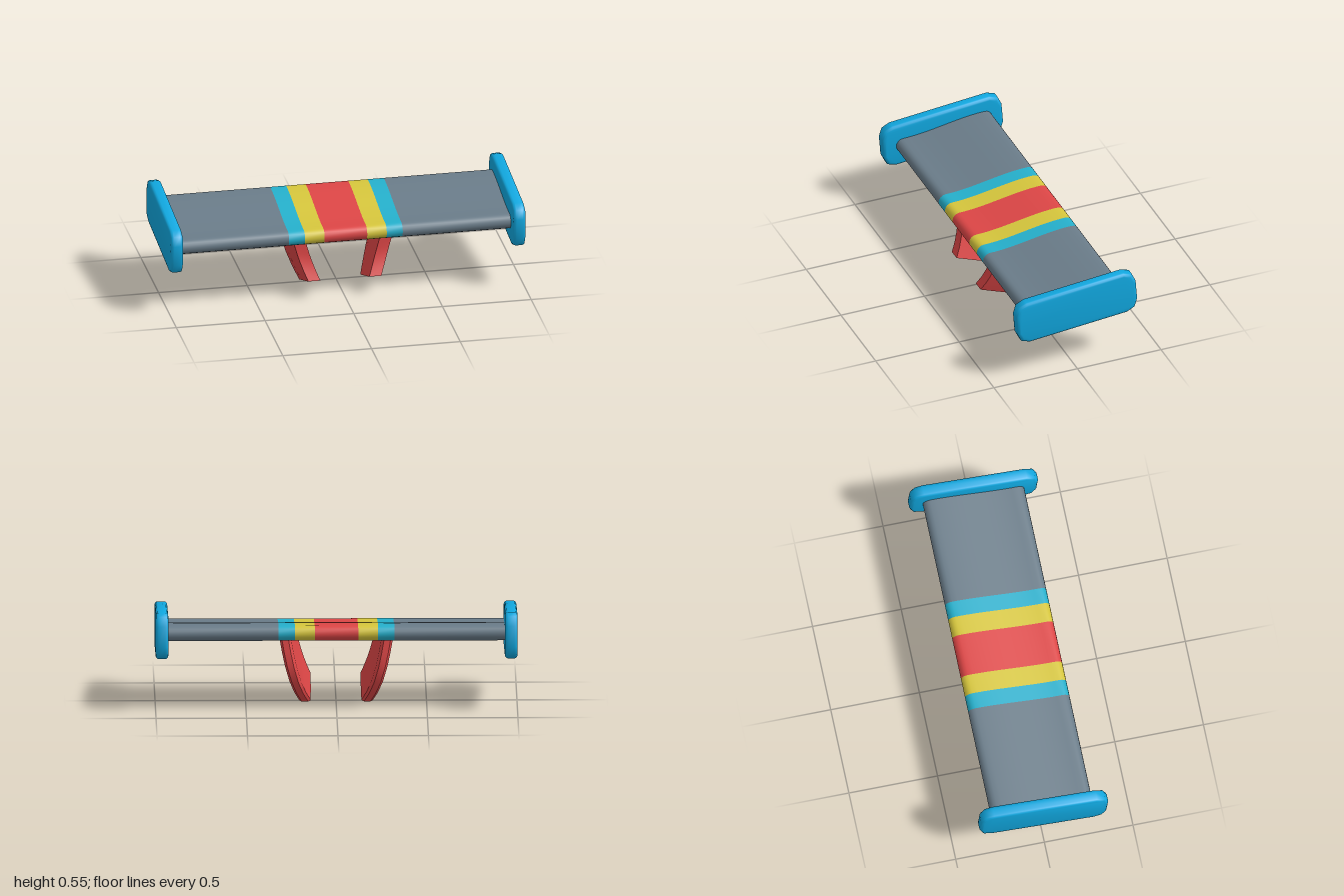
import * as THREE from 'three';
import { toCreasedNormals, mergeVertices } from 'three/addons/utils/BufferGeometryUtils.js';

const mat = (name, color) => {
  const m = new THREE.MeshStandardMaterial({ color });
  m.name = name;
  return m;
};

// Wavy wing section with round nose and tail; shape x runs towards the back
function wingShape() {
  const pts = [], h = 0.042, front = -0.24, back = 0.248, n = 16;
  const mid = s => 0.372 + 0.056 * THREE.MathUtils.smoothstep(s, front, back);
  for (let i = 0; i <= n; i++) {
    const s = front + (back - front) * i / n;
    pts.push(new THREE.Vector2(s, mid(s) - h));
  }
  for (let i = 1; i < 8; i++) {
    const a = -Math.PI / 2 + Math.PI * i / 8;
    pts.push(new THREE.Vector2(back + h * Math.cos(a), mid(back) + h * Math.sin(a)));
  }
  for (let i = n; i >= 0; i--) {
    const s = front + (back - front) * i / n;
    pts.push(new THREE.Vector2(s, mid(s) + h));
  }
  for (let i = 1; i < 8; i++) {
    const a = Math.PI / 2 + Math.PI * i / 8;
    pts.push(new THREE.Vector2(front + h * Math.cos(a), mid(front) + h * Math.sin(a)));
  }
  return new THREE.Shape(pts);
}

// One stretch of wing between two x positions
function wingSection(shape, x0, x1) {
  const g = new THREE.ExtrudeGeometry(shape, { depth: x1 - x0, bevelEnabled: false });
  g.rotateY(Math.PI / 2).translate(x0, 0, 0);
  return toCreasedNormals(g, 0.6);
}

// Tilted end plate with clipped corners and rounded rim
function plateGeometry() {
  const half = [[-0.30, 0.103], [0.28, 0.154], [0.33, 0.139], [0.354, 0.089], [0.363, -0.027], [0.347, -0.079]];
  const pts = [...half, ...half.map(([x, y]) => [-x, -y])].map(p => new THREE.Vector2(...p));
  const g = new THREE.ExtrudeGeometry(new THREE.Shape(pts), {
    depth: 0.034, bevelThickness: 0.018, bevelSize: 0.018, bevelOffset: -0.018, bevelSegments: 3,
  });
  g.translate(0, 0, -0.017).rotateY(Math.PI / 2).translate(0, 0.397, 0);
  return toCreasedNormals(g, 0.9);
}

// Strut lofted from its slanted foot up into the wing, leaning outwards
function strutGeometry(side) {
  const front = [[0.25, 0.105], [0.225, 0.155], [0.205, 0.21], [0.198, 0.25], [0.196, 0.31], [0.195, 0.365]];
  const rear = [[-0.032, 0], [-0.10, 0.058], [-0.152, 0.13], [-0.169, 0.22], [-0.158, 0.30], [-0.14, 0.42]];
  // position along the chord, half thickness
  const ring = [[0, 0.034], [0.5, 0.034], [0.95, 0.032], [1, 0.018], [1, -0.018], [0.95, -0.032], [0.5, -0.034], [0, -0.034]];
  const pos = [], idx = [], n = ring.length;
  front.forEach((f, i) => {
    for (const [t, w] of ring) {
      const z = THREE.MathUtils.lerp(f[0], rear[i][0], t);
      const y = THREE.MathUtils.lerp(f[1], rear[i][1], t);
      const d = Math.max(0, y - 0.0115 - 0.375 * z);
      pos.push(side * (0.172 + 0.35 * d - 0.2 * d * d + w), y, z);
    }
  });
  const tri = (a, b, c) => (side > 0 ? idx.push(a, b, c) : idx.push(a, c, b));
  for (let i = 0; i < front.length - 1; i++) {
    for (let j = 0; j < n; j++) {
      const a = i * n + j, b = i * n + (j + 1) % n;
      tri(a, b, b + n);
      tri(a, b + n, a + n);
    }
  }
  const top = (front.length - 1) * n;
  for (let j = 1; j < n - 1; j++) {
    tri(0, j + 1, j);
    tri(top, top + j, top + j + 1);
  }
  const g = new THREE.BufferGeometry();
  g.setAttribute('position', new THREE.Float32BufferAttribute(pos, 3));
  g.setIndex(idx);
  return toCreasedNormals(mergeVertices(g), 0.7);
}

export function createModel() {
  const model = new THREE.Group();
  model.name = 'rearWing';
  const grey = mat('slate grey', 0x6a7c89);
  const red = mat('red', 0xdd4646);
  const yellow = mat('yellow', 0xd6c63c);
  const teal = mat('turquoise', 0x25b0cc);
  const blue = mat('bright blue', 0x10a8e0);
  const add = (name, geometry, material) => {
    const m = new THREE.Mesh(geometry, material);
    m.name = name;
    model.add(m);
    return m;
  };

  // Wing, striped symmetrically about its middle
  const shape = wingShape();
  add('centreStripe', wingSection(shape, -0.12, 0.12), red);
  const bands = [
    ['innerStripe', 0.12, 0.23, yellow],
    ['outerStripe', 0.23, 0.32, teal],
    ['wingPanel', 0.32, 0.95, grey],
  ];
  for (const [name, a, b, m] of bands) {
    add(name + 'Left', wingSection(shape, a, b), m);
    add(name + 'Right', wingSection(shape, -b, -a), m);
  }

  // End plates and struts
  const plate = plateGeometry();
  for (const [side, label] of [[1, 'Left'], [-1, 'Right']]) {
    add('endPlate' + label, plate, blue).position.x = side * 0.965;
    add('strut' + label, strutGeometry(side), red);
  }
  return model;
}
